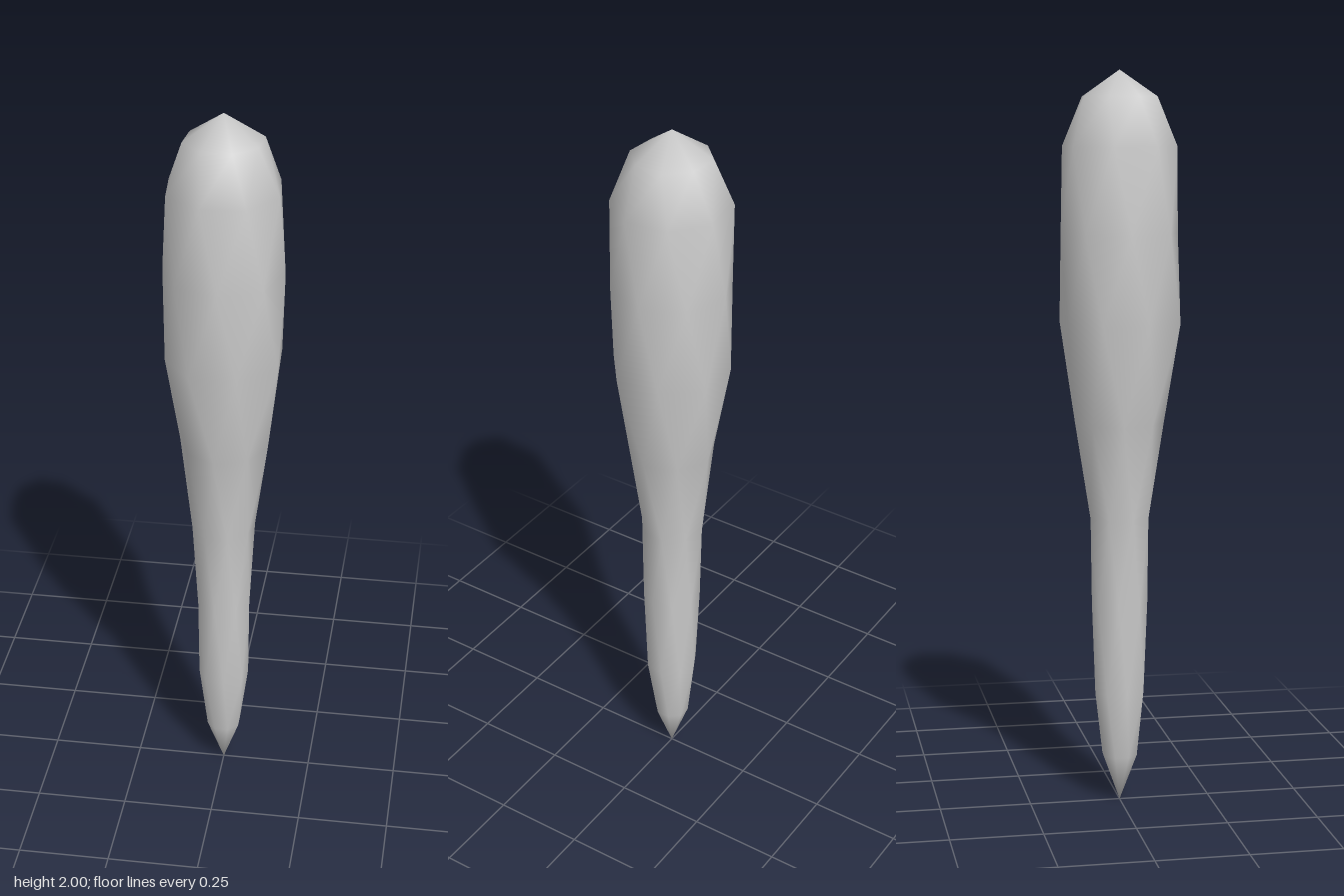
import * as THREE from 'three';

// Cross-sections from bottom to top: height, corner radius, mid-side radius
const RINGS = [
  [0.13, 0.049, 0.048],
  [0.31, 0.073, 0.070],
  [0.56, 0.079, 0.076],
  [0.80, 0.087, 0.083],
  [1.06, 0.121, 0.115],
  [1.33, 0.168, 0.158],
  [1.57, 0.161, 0.160],
  [1.80, 0.157, 0.154],
  [1.93, 0.107, 0.104],
];
const SIDES = 8;
const twistAt = (y) => THREE.MathUtils.degToRad((y - 1) * 76);

export function createModel() {
  const group = new THREE.Group();
  const positions = [];
  const index = [];

  // Twisted rounded-square rings, then the two tips
  for (const [y, corner, mid] of RINGS) {
    for (let i = 0; i < SIDES; i++) {
      const a = twistAt(y) + (i / SIDES) * Math.PI * 2;
      const r = i % 2 ? mid : corner;
      positions.push(r * Math.cos(a), y, r * Math.sin(a));
    }
  }
  const bottom = RINGS.length * SIDES;
  const top = bottom + 1;
  positions.push(0, 0, 0, 0, 2, 0);

  // Walls between neighbouring rings and fans to the tips
  const last = (RINGS.length - 1) * SIDES;
  for (let i = 0; i < SIDES; i++) {
    const n = (i + 1) % SIDES;
    for (let base = 0; base < last; base += SIDES) {
      const p = base + i, q = base + n;
      index.push(p, p + SIDES, q, q, p + SIDES, q + SIDES);
    }
    index.push(bottom, i, n);
    index.push(last + i, top, last + n);
  }

  const geometry = new THREE.BufferGeometry();
  geometry.setAttribute('position', new THREE.Float32BufferAttribute(positions, 3));
  geometry.setIndex(index);
  geometry.computeVertexNormals();

  const club = new THREE.Mesh(geometry, new THREE.MeshStandardMaterial({ color: 0xcccccc }));
  club.name = 'twistedClub';
  group.add(club);
  return group;
}
